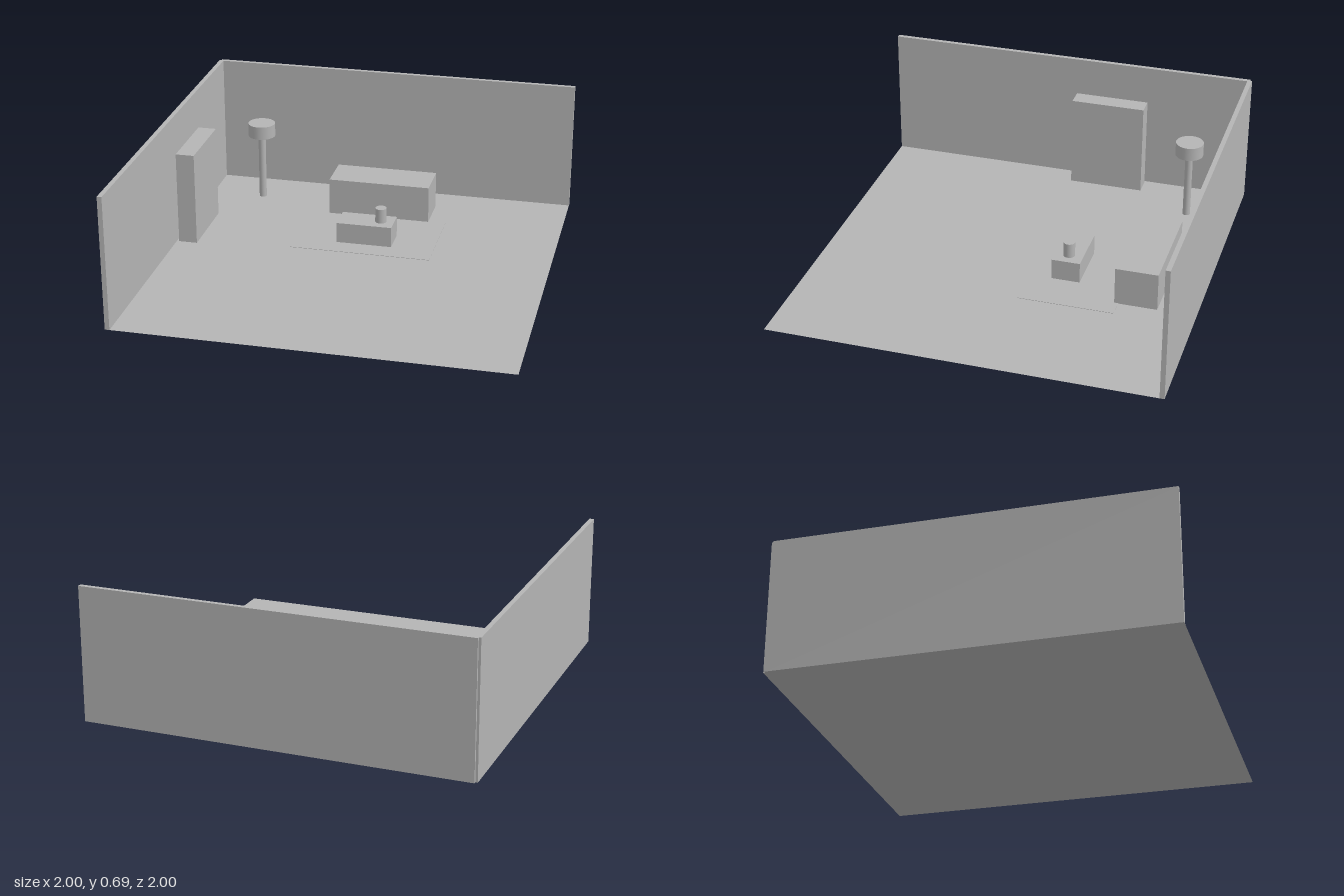
import * as THREE from 'three';

export function createModel() {
  const room = new THREE.Group();
  room.name = 'livingRoom';
  const grey = new THREE.MeshStandardMaterial({ color: 0xb4b4b4, side: THREE.DoubleSide });
  grey.name = 'plainGrey';

  const add = (name, geometry, parent = room) => {
    const mesh = new THREE.Mesh(geometry, grey);
    mesh.name = name;
    parent.add(mesh);
    return mesh;
  };

  // Box given by its lower and upper limits on each axis
  const box = (name, [x0, x1], [y0, y1], [z0, z1]) =>
    add(name, new THREE.BoxGeometry(x1 - x0, y1 - y0, z1 - z0))
      .position.set((x0 + x1) / 2, (y0 + y1) / 2, (z0 + z1) / 2);

  // Upright cylinder between two heights
  const post = (name, radius, x, z, y0, y1, parent) =>
    add(name, new THREE.CylinderGeometry(radius, radius, y1 - y0, 32), parent)
      .position.set(x, (y0 + y1) / 2, z);

  // Floor sheet and the two walls, which leave a small notch at the corner
  const floor = add('floor', new THREE.PlaneGeometry(1.99, 1.99).rotateX(-Math.PI / 2));
  floor.position.set(0.005, 0, 0.005);
  box('backWall', [-0.988, 1], [0, 0.695], [-1, -0.976]);
  box('sideWall', [-1, -0.976], [0, 0.695], [-0.988, 1]);

  // Furniture
  box('rug', [-0.37, 0.375], [0, 0.002], [-0.6, -0.105]);
  box('sofa', [-0.27, 0.28], [0, 0.2], [-0.8, -0.58]);
  box('coffeeTable', [-0.145, 0.15], [0, 0.112], [-0.366, -0.217]);
  box('bookcase', [-0.963, -0.865], [0, 0.497], [-0.442, -0.045]);
  post('cup', 0.03, 0.079, -0.291, 0.112, 0.19);

  // Floor lamp
  const lamp = new THREE.Group();
  lamp.name = 'floorLamp';
  room.add(lamp);
  post('lampPole', 0.02, -0.692, -0.738, 0, 0.365, lamp);
  post('lampShade', 0.074, -0.692, -0.738, 0.363, 0.435, lamp);

  return room;
}
